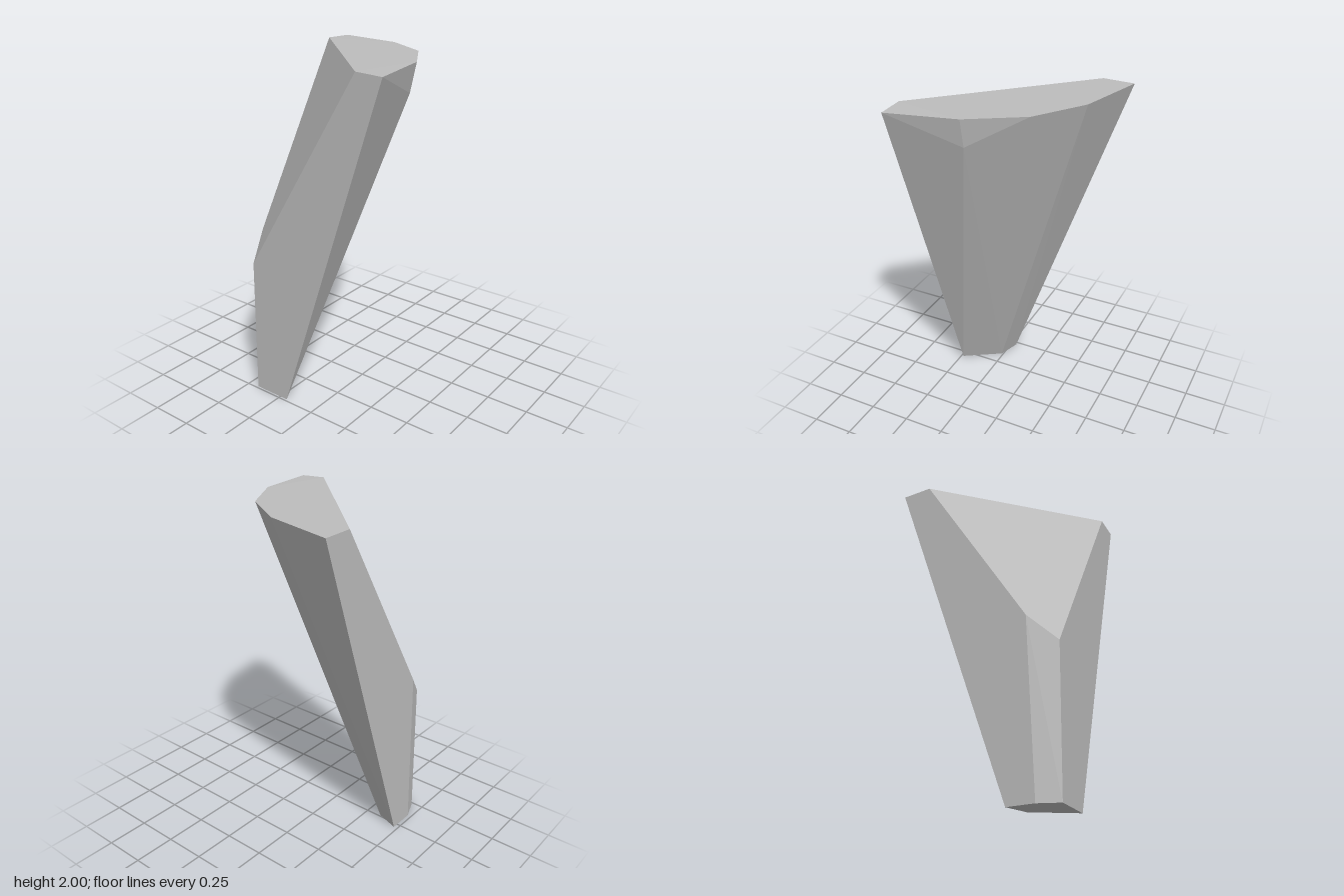
import * as THREE from 'three';
import { ConvexGeometry } from 'three/addons/geometries/ConvexGeometry.js';

export function createModel() {
  const group = new THREE.Group();
  group.name = 'stoneShard';
  const stone = new THREE.MeshStandardMaterial({ color: 0xbcbcbc, flatShading: true });
  stone.name = 'grey stone';

  // Small foot on the ground
  const foot = [
    [-0.476, 0, 0.37], [-0.43, 0, 0.486], [-0.2, 0, 0.486],
    [-0.342, 0, 0.26], [-0.476, 0, 0.215],
  ];
  // Fan-shaped rim at the top, with one chipped corner
  const rim = [
    [-0.476, 1.996, -0.487], [-0.056, 2, -0.385], [0.225, 2, -0.2],
    [0.402, 1.999, 0.09], [0.367, 1.84, 0.093], [0.475, 1.992, 0.486],
  ];
  // Slanted cut that takes off the inner front corner
  const cut = [
    [-0.476, 2, -0.31], [0.32, 2, 0.486], [-0.412, 0.83, 0.486], [-0.476, 0.98, 0.33],
  ];

  const points = [...foot, ...rim, ...cut].map((p) => new THREE.Vector3(...p));
  const shard = new THREE.Mesh(new ConvexGeometry(points), stone);
  shard.name = 'shard';
  group.add(shard);
  return group;
}
